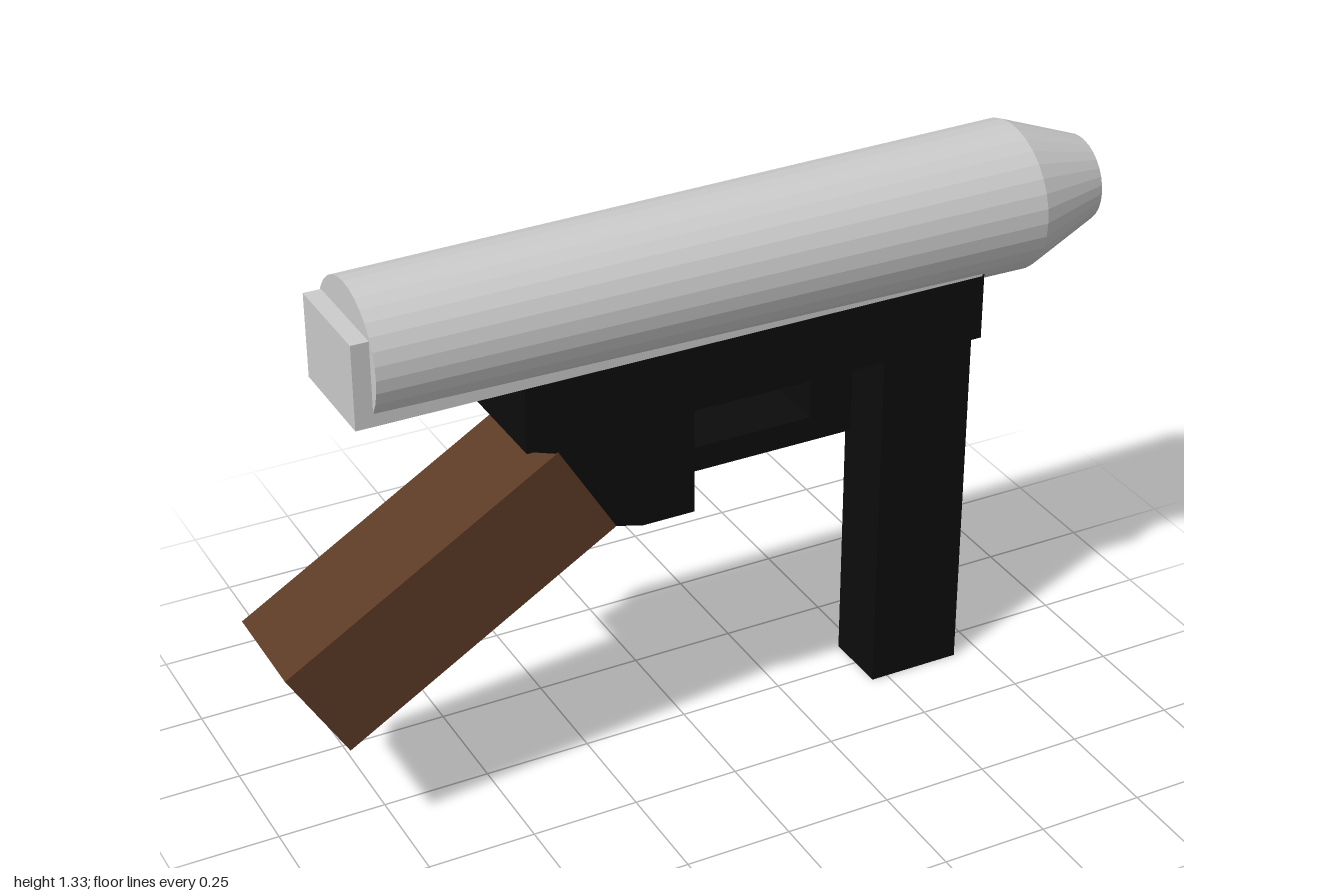
import * as THREE from 'three';

export function createModel() {
  const model = new THREE.Group();
  const paint = (color) =>
    new THREE.MeshStandardMaterial({ color, flatShading: true, side: THREE.DoubleSide });
  const grey = paint(0xcccccc);
  const black = paint(0x0c0c0c);
  const brown = paint(0x5c3a26);

  const add = (name, geometry, material) => {
    const mesh = new THREE.Mesh(geometry, material);
    mesh.name = name;
    model.add(mesh);
    return mesh;
  };

  // Box given by its x and y limits, centred on z = 0
  const block = (name, x0, x1, y0, y1, depth, material) =>
    add(name, new THREE.BoxGeometry(x1 - x0, y1 - y0, depth), material)
      .position.set((x0 + x1) / 2, (y0 + y1) / 2, 0);

  // Side outline extruded across z
  const plate = (name, points, depth, material) => {
    const shape = new THREE.Shape(points.map(([x, y]) => new THREE.Vector2(x, y)));
    const geometry = new THREE.ExtrudeGeometry(shape, { depth, bevelEnabled: false });
    geometry.translate(0, 0, -depth / 2);
    return add(name, geometry, material);
  };

  // Barrel: closed rear, slight flare, tapered nose and a bored muzzle
  const profile = [
    [0, -0.77], [0.155, -0.77], [0.172, 0.81], [0.1, 1], [0.085, 0.68], [0, 0.68],
  ].map(([r, x]) => new THREE.Vector2(r, x));
  const barrel = add('barrel', new THREE.LatheGeometry(profile, 32), grey);
  barrel.rotation.z = -Math.PI / 2;
  barrel.position.y = 1.157;

  // Square bolt housing running through the barrel
  block('boltHousing', -0.81, 0.675, 1.04, 1.235, 0.256, grey);

  // Receiver and the angled block that carries the stock
  block('receiver', -0.435, 0.68, 0.885, 1.043, 0.254, black);
  plate('stockMount', [
    [-0.435, 0.89], [-0.37, 0.868], [-0.23, 0.65], [-0.165, 0.633], [-0.04, 0.633], [-0.04, 0.89],
  ], 0.252, black);

  // Magazine
  block('magazine', 0.46, 0.686, 0, 1.005, 0.16, black);

  // Trigger and its guard
  block('trigger', 0.06, 0.167, 0.83, 0.89, 0.08, black);
  plate('triggerGuard', [
    [-0.05, 0.7], [0.38, 0.7], [0.38, 0.89], [0.275, 0.89], [0.275, 0.76], [-0.05, 0.76],
  ], 0.15, black);

  // Slanted wooden stock
  plate('stock', [[-1, 0.49], [-0.867, 0.27], [-0.23, 0.651], [-0.363, 0.87]], 0.256, brown);

  return model;
}
